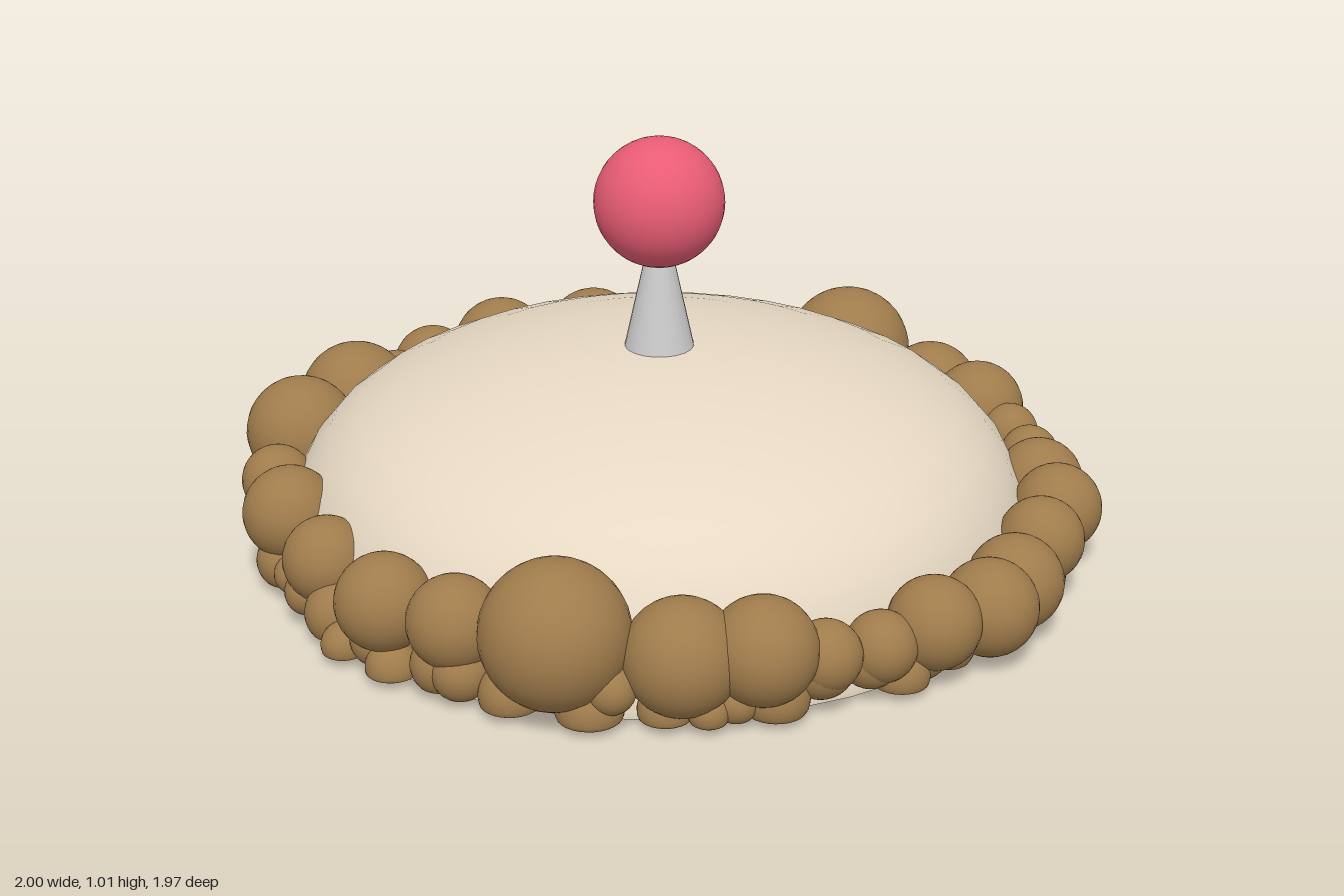
import * as THREE from 'three';

const paint = (color) => new THREE.MeshStandardMaterial({ color });

function seeded(seed) {
  return () => {
    seed = (seed * 16807) % 2147483647;
    return seed / 2147483647;
  };
}

// Sphere cut flat at the floor and at the back plane
function clippedBall(x, y, z, r) {
  const g = new THREE.SphereGeometry(r, 28, 20).translate(x, y, z);
  const p = g.attributes.position;
  for (let i = 0; i < p.count; i++) {
    p.setY(i, Math.max(p.getY(i), 0.02));
    p.setZ(i, Math.max(p.getZ(i), -0.985));
  }
  g.computeVertexNormals();
  return g;
}

// Rim lumps going round from the front: x, z, radius, top height
const LUMPS = [
  [-0.37, 0.77, 0.165, 0.36], [-0.11, 0.84, 0.13, 0.285], [0.06, 0.86, 0.12, 0.285],
  [0.2, 0.84, 0.08, 0.21], [0.33, 0.8, 0.08, 0.2], [0.46, 0.75, 0.105, 0.245],
  [0.6, 0.69, 0.11, 0.245], [0.69, 0.58, 0.11, 0.245], [0.8, 0.41, 0.1, 0.25],
  [0.89, 0.24, 0.105, 0.25], [0.89, 0.09, 0.105, 0.25], [0.91, -0.06, 0.07, 0.22],
  [0.9, -0.2, 0.07, 0.22], [0.85, -0.32, 0.115, 0.285], [0.77, -0.48, 0.12, 0.28],
  [0.6, -0.69, 0.16, 0.36], [0.71, -0.61, 0.06, 0.2], [0.5, -0.81, 0.08, 0.24],
  [0.41, -0.88, 0.1, 0.26], [0.22, -0.92, 0.11, 0.28], [-0.04, -0.93, 0.125, 0.31],
  [-0.29, -0.9, 0.125, 0.31], [-0.48, -0.81, 0.1, 0.28], [-0.58, -0.73, 0.09, 0.25],
  [-0.69, -0.65, 0.14, 0.31], [-0.84, -0.42, 0.135, 0.32], [-0.91, -0.18, 0.085, 0.25],
  [-0.89, 0.04, 0.11, 0.29], [-0.82, 0.26, 0.1, 0.26], [-0.71, 0.51, 0.11, 0.28],
  [-0.57, 0.64, 0.105, 0.28],
];

export function createModel() {
  const model = new THREE.Group();
  const add = (name, geometry, material, parent = model) => {
    const mesh = new THREE.Mesh(geometry, material);
    mesh.name = name;
    parent.add(mesh);
    return mesh;
  };

  // Domed body with a flat underside
  const profile = [
    [0.9, 0], [0.9, 0.02], [0.885, 0.09], [0.865, 0.165], [0.83, 0.235], [0.78, 0.295],
    [0.71, 0.35], [0.62, 0.395], [0.52, 0.432], [0.41, 0.463], [0.28, 0.489],
    [0.14, 0.504], [0, 0.508],
  ].map(([r, y]) => new THREE.Vector2(r, y));
  const cream = paint(0xe6d8c3);
  add('dome', new THREE.LatheGeometry(profile, 40), cream).position.set(-0.01, 0, -0.06);
  const base = add('baseDisc', new THREE.CircleGeometry(0.9, 40), cream);
  base.rotation.x = Math.PI / 2;
  base.position.set(-0.01, 0, -0.06);

  // Tapered stem and round knob
  add('stem', new THREE.CylinderGeometry(0.03, 0.085, 0.25, 20), paint(0xcccccc))
    .position.set(-0.01, 0.615, -0.045);
  add('knob', new THREE.SphereGeometry(0.152, 32, 24), paint(0xe85c74))
    .position.set(-0.01, 0.858, -0.045);

  // Lumpy rim
  const rim = new THREE.Group();
  rim.name = 'lumpyRim';
  model.add(rim);
  const brown = paint(0xa07c4c);
  LUMPS.forEach(([x, z, r, top]) => add('lump', clippedBall(x, top - r, z, r), brown, rim));

  // Small crumbs filling the foot of the rim
  const rand = seeded(77);
  const count = 64;
  for (let i = 0; i < count; i++) {
    const a = ((i + 0.6 * rand()) / count) * Math.PI * 2;
    const r = 0.045 + 0.035 * rand();
    const reach = 0.955 - r + 0.03 * rand();
    const y = 0.03 + 0.08 * rand();
    add('crumb', clippedBall(Math.sin(a) * reach, y, Math.cos(a) * reach - 0.04, r), brown, rim);
  }
  return model;
}
